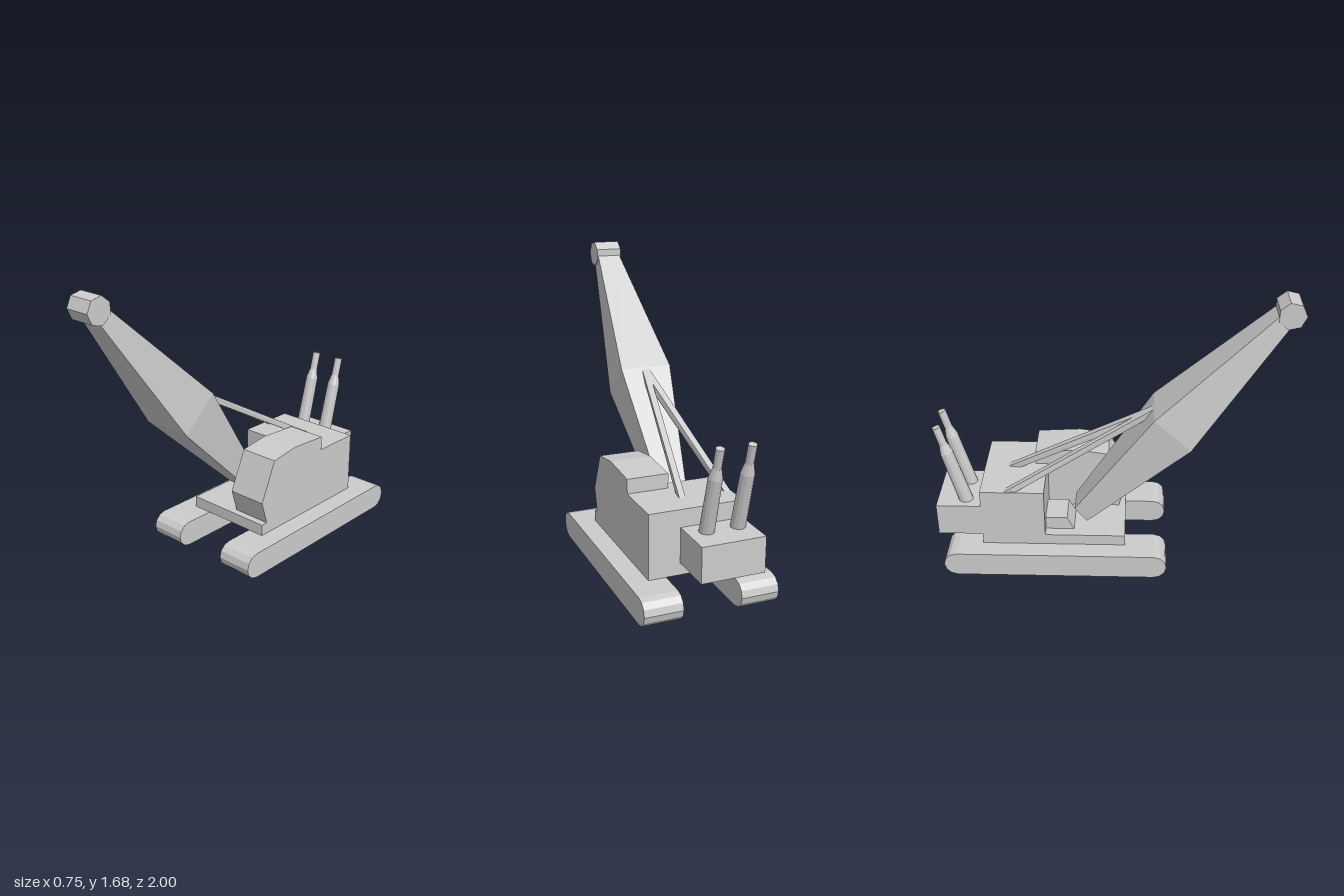
import * as THREE from 'three';
import { ConvexGeometry } from 'three/addons/geometries/ConvexGeometry.js';

export function createModel() {
  const model = new THREE.Group();
  model.name = 'crawlerCrane';
  const material = new THREE.MeshStandardMaterial({ color: 0xcccccc, flatShading: true });

  function add(name, geometry) {
    const mesh = new THREE.Mesh(geometry, material);
    mesh.name = name;
    model.add(mesh);
    return mesh;
  }

  // Box given by its limits on each axis
  function block(name, [x0, x1], [y0, y1], [z0, z1]) {
    const geometry = new THREE.BoxGeometry(x1 - x0, y1 - y0, z1 - z0);
    add(name, geometry.translate((x0 + x1) / 2, (y0 + y1) / 2, (z0 + z1) / 2));
  }

  // Side profile of [z, y] points swept across from x0 to x1
  function sideProfile(name, points, x0, x1) {
    const shape = new THREE.Shape(points.map(([z, y]) => new THREE.Vector2(z, y)));
    const geometry = new THREE.ExtrudeGeometry(shape, { depth: x1 - x0, bevelEnabled: false });
    add(name, geometry.rotateY(-Math.PI / 2).translate(x1, 0, 0));
  }

  // Convex solid through cross-sections: each row is [z, y, x0, x1]
  function hull(name, rows) {
    const points = [];
    for (const [z, y, x0, x1] of rows) {
      points.push(new THREE.Vector3(x0, y, z), new THREE.Vector3(x1, y, z));
    }
    add(name, new ConvexGeometry(points));
  }

  // Crawler tracks with rounded ends
  const r = 0.075, steps = 6, track = [];
  for (const [zc, start] of [[0.25, -Math.PI / 2], [-0.89, Math.PI / 2]]) {
    for (let i = 0; i <= steps; i++) {
      const a = start + (i / steps) * Math.PI;
      track.push([zc + r * Math.cos(a), r + r * Math.sin(a)]);
    }
  }
  sideProfile('rightTrack', track, -0.375, -0.163);
  sideProfile('leftTrack', track, 0.16, 0.372);

  // Turntable deck and machinery house
  block('deck', [-0.27, 0.262], [0.153, 0.22], [-0.745, 0.083]);
  block('houseRight', [-0.27, 0.027], [0.22, 0.517], [-0.745, -0.38]);
  block('houseLeft', [0.027, 0.262], [0.22, 0.517], [-0.745, -0.45]);
  block('engineBox', [-0.27, 0.085], [0.22, 0.418], [-1, -0.745]);

  // Operator cab
  sideProfile('cab', [
    [-0.45, 0.22], [0.042, 0.22], [0.083, 0.358], [-0.02, 0.59], [-0.2, 0.615], [-0.45, 0.6],
  ], 0.027, 0.262);

  // Boom foot mount
  sideProfile('boomMount', [[-0.38, 0.22], [-0.215, 0.22], [-0.255, 0.3], [-0.38, 0.3]], -0.21, -0.03);

  // Boom, widest in the middle
  hull('boom', [
    [-0.21, 0.36, -0.197, -0.045], [-0.14, 0.27, -0.197, -0.045],
    [0.235, 1.01, -0.275, 0.032], [0.44, 0.82, -0.275, 0.032],
    [0.86, 1.595, -0.19, -0.05], [0.92, 1.53, -0.19, -0.05],
  ]);

  // Seven-sided head sheave
  const head = [];
  for (let i = 0; i < 7; i++) {
    const a = (i / 7) * Math.PI * 2;
    head.push([0.925 + 0.075 * Math.cos(a), 1.6 + 0.077 * Math.sin(a)]);
  }
  sideProfile('boomHead', head, -0.198, -0.043);

  // Stay bars meeting in a V on the boom
  const middle = -0.118;
  for (const side of [-1, 1]) {
    const span = (inner, outer) => [middle + side * inner, middle + side * outer].sort((a, b) => a - b);
    const foot = span(0.115, 0.15), tip = span(-0.018, 0.022);
    hull(side < 0 ? 'rightStay' : 'leftStay', [
      [-0.615, 0.512, ...foot], [-0.6, 0.48, ...foot],
      [0.235, 1.005, ...tip], [0.205, 0.945, ...tip],
    ]);
  }

  // Leaning exhaust stacks
  const stack = [[0, -0.03], [0.041, -0.03], [0.037, 0.33], [0.023, 0.39], [0.023, 0.5], [0, 0.5]]
    .map(([x, y]) => new THREE.Vector2(x, y));
  for (const [name, x] of [['rightExhaust', -0.193], ['leftExhaust', -0.017]]) {
    const mesh = add(name, new THREE.LatheGeometry(stack, 12));
    mesh.position.set(x, 0.418, -0.838);
    mesh.rotation.x = -0.26;
  }

  return model;
}
